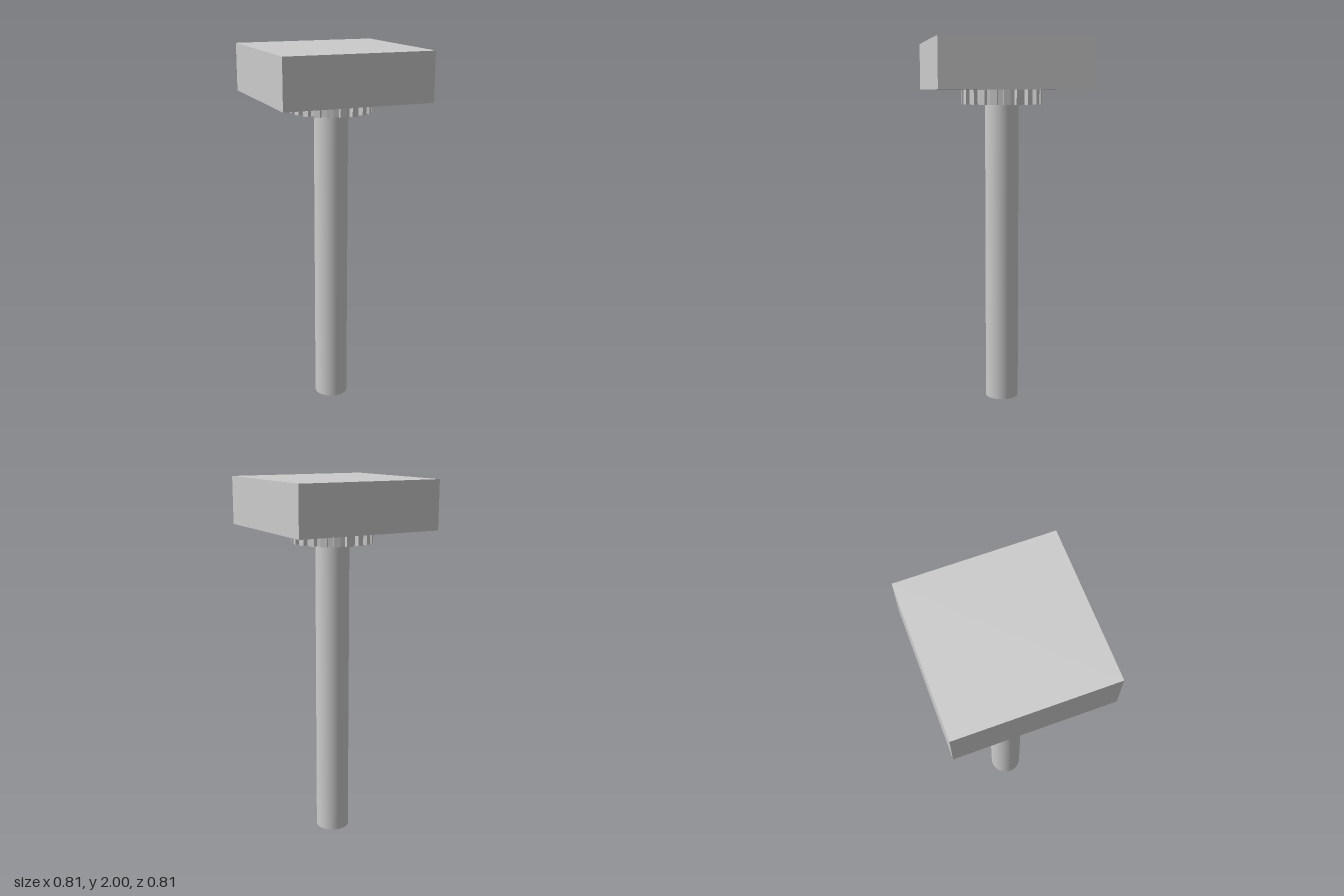
import * as THREE from 'three';

const TEETH = 20;
const OUTER = 0.22;
const ROOT = 0.19;

// Toothed outline: each tooth fills half of its pitch
function gearShape() {
  const points = [];
  const pitch = (Math.PI * 2) / TEETH;
  for (let i = 0; i < TEETH; i++) {
    for (const [t, r] of [[0, ROOT], [0, OUTER], [0.5, OUTER], [0.5, ROOT]]) {
      const a = (i + t) * pitch;
      points.push(new THREE.Vector2(Math.cos(a) * r, Math.sin(a) * r));
    }
  }
  return new THREE.Shape(points);
}

export function createModel() {
  const model = new THREE.Group();
  const grey = new THREE.MeshStandardMaterial({ color: 0xcccccc });
  const greyOpen = new THREE.MeshStandardMaterial({ color: 0xcccccc, side: THREE.DoubleSide });

  const add = (name, geometry, material, y) => {
    const mesh = new THREE.Mesh(geometry, material);
    mesh.name = name;
    mesh.position.y = y;
    model.add(mesh);
  };

  // Square head block
  add('head', new THREE.BoxGeometry(0.806, 0.26, 0.806), grey, 1.87);

  // Gear collar, hanging down from the underside of the head
  const gear = new THREE.ExtrudeGeometry(gearShape(), { depth: 0.08, bevelEnabled: false });
  gear.rotateX(Math.PI / 2);
  add('gearCollar', gear, grey, 1.74);

  // Hollow shaft, open at the foot
  add('shaft', new THREE.CylinderGeometry(0.092, 0.092, 1.66, 48, 1, true), greyOpen, 0.83);

  return model;
}
